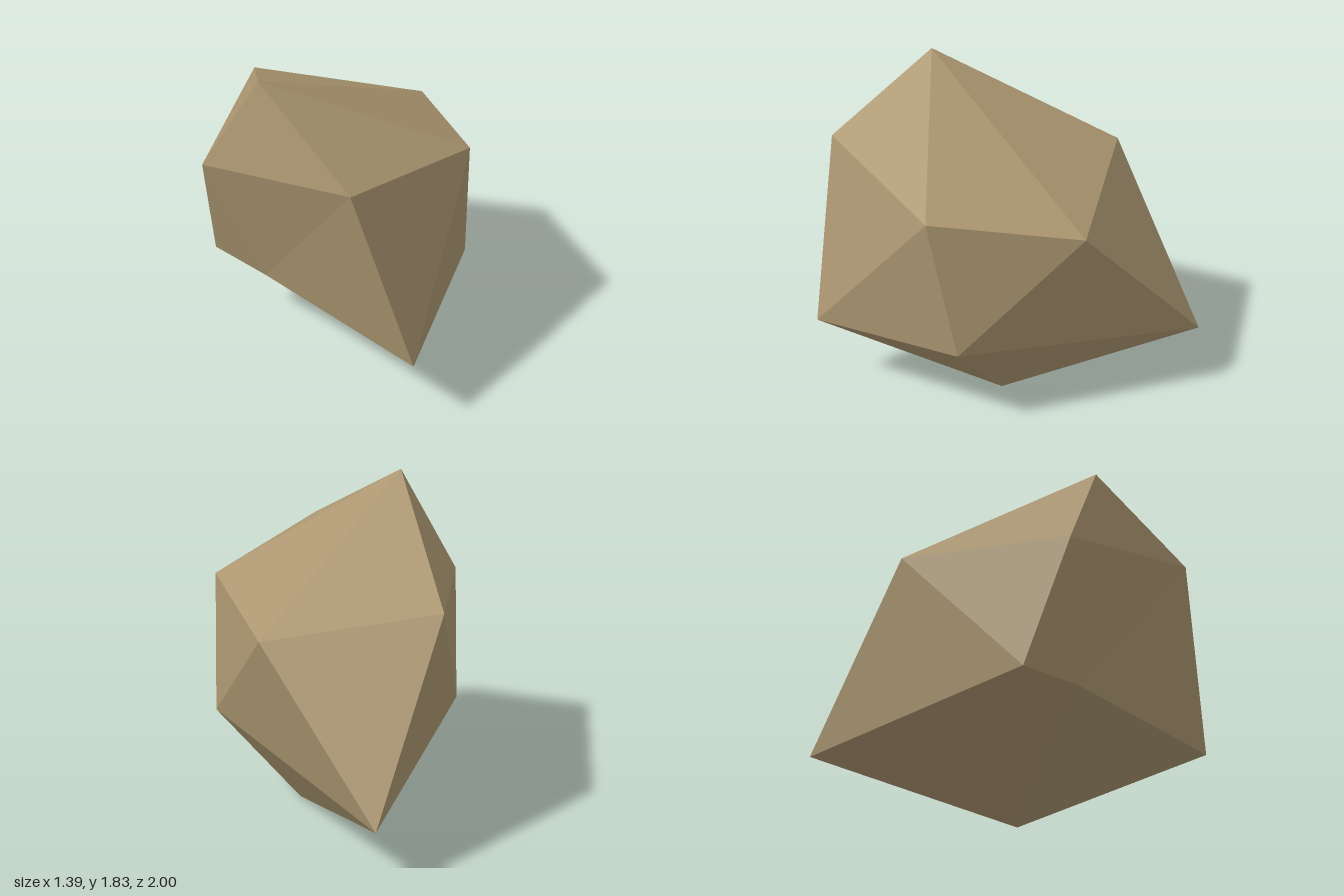
import * as THREE from 'three';

// A faceted boulder: a distorted icosahedron made of two poles and two rings of five
export function createModel() {
  const top = [-0.31, 1.83, 0.66];
  const bottom = [0.17, 0, -0.01];
  // Both rings run counter-clockwise seen from above
  const upper = [
    [0.25, 1.455, 1.0], [0.69, 1.30, 0.17], [0.28, 1.18, -0.56],
    [-0.67, 1.32, -0.35], [-0.65, 1.26, 0.62],
  ];
  const lower = [
    [0.58, 0.43, 0.97], [0.67, 0.515, 0.01], [-0.41, 0.35, -1.0],
    [-0.70, 0.54, 0.37], [-0.35, 0.54, 0.55],
  ];

  const points = [];
  for (let i = 0; i < 5; i++) {
    const j = (i + 1) % 5;
    points.push(
      top, upper[i], upper[j], // cap
      upper[i], lower[i], upper[j], // belt
      lower[i], lower[j], upper[j],
      bottom, lower[j], lower[i], // underside
    );
  }
  const geometry = new THREE.BufferGeometry();
  geometry.setAttribute('position', new THREE.Float32BufferAttribute(points.flat(), 3));
  geometry.computeVertexNormals();

  const stone = new THREE.MeshStandardMaterial({ color: 0xab9670, flatShading: true });
  stone.name = 'tan stone';
  const rock = new THREE.Mesh(geometry, stone);
  rock.name = 'rock';

  const group = new THREE.Group();
  group.name = 'boulder';
  group.add(rock);
  return group;
}
